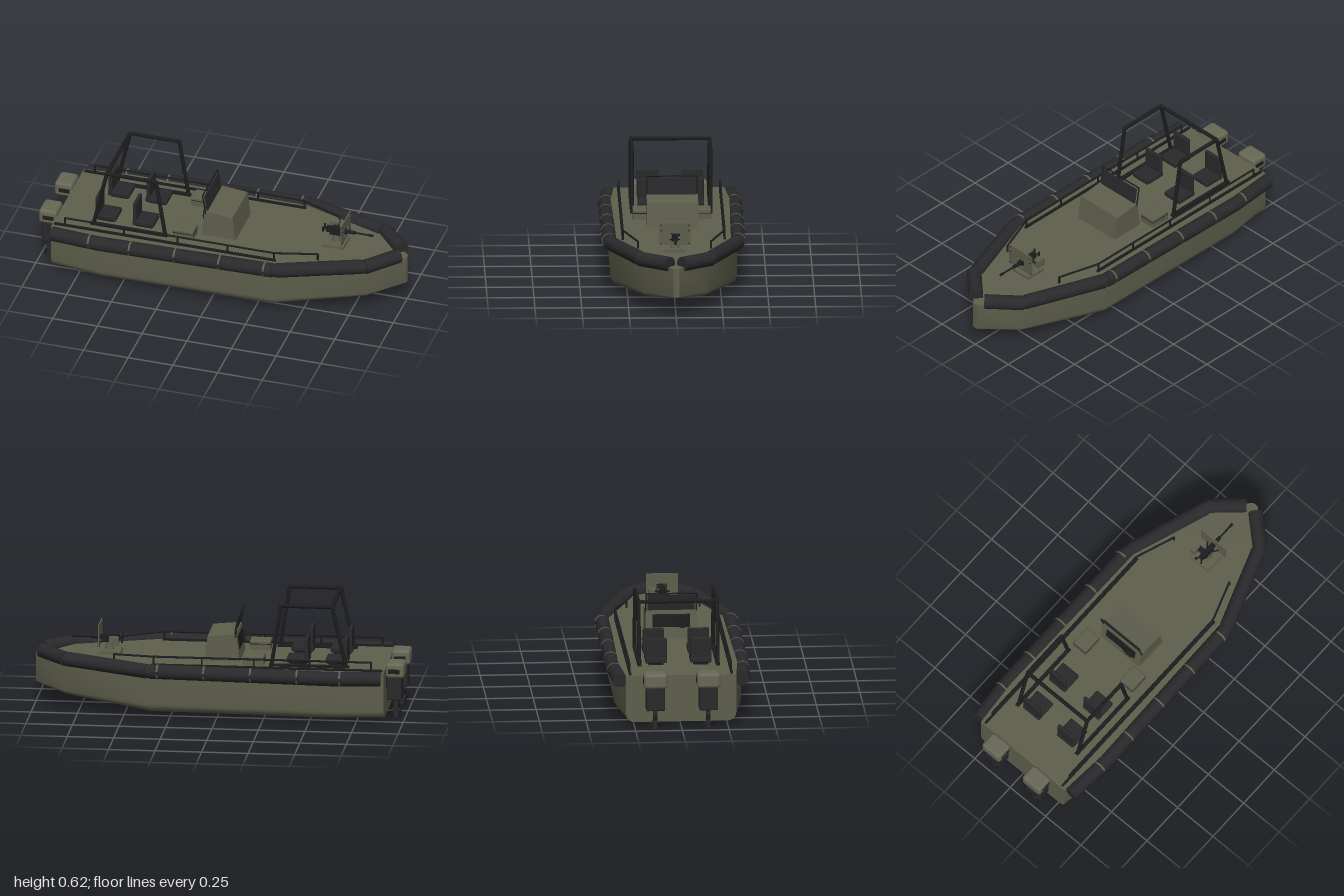
import * as THREE from 'three';
import { toCreasedNormals } from 'three/addons/utils/BufferGeometryUtils.js';
import { RoundedBoxGeometry } from 'three/addons/geometries/RoundedBoxGeometry.js';

const material = (name, color) => {
  const m = new THREE.MeshStandardMaterial({ color });
  m.name = name;
  return m;
};

export function createModel() {
  const green = material('olive paint', 0x5e5f4c);
  const cowlGreen = material('light olive', 0x686856);
  const rubber = material('black rubber', 0x29292b);
  const metal = material('black metal', 0x1d1d1f);
  const model = new THREE.Group();
  model.name = 'patrolBoat';
  const V = (x, y, z) => new THREE.Vector3(x, y, z);

  function add(name, geometry, mat, x = 0, y = 0, z = 0, parent = model) {
    const mesh = new THREE.Mesh(geometry, mat);
    mesh.name = name;
    mesh.position.set(x, y, z);
    parent.add(mesh);
    return mesh;
  }
  const box = (name, w, h, d, mat, x, y, z, parent) =>
    add(name, new THREE.BoxGeometry(w, h, d), mat, x, y, z, parent);
  const soft = (name, w, h, d, r, mat, x, y, z, parent) =>
    add(name, new RoundedBoxGeometry(w, h, d, 2, r), mat, x, y, z, parent);

  // Round bar between two points
  function bar(name, a, b, r, mat, sides = 10, parent = model) {
    const d = b.clone().sub(a);
    const mesh = add(name, new THREE.CylinderGeometry(r, r, d.length(), sides), mat, 0, 0, 0, parent);
    mesh.position.copy(a).add(b).multiplyScalar(0.5);
    mesh.quaternion.setFromUnitVectors(V(0, 1, 0), d.normalize());
    return mesh;
  }
  function pipe(name, points, r, mat) {
    for (let i = 1; i < points.length; i++) bar(name, points[i - 1], points[i], r, mat);
    for (const p of points) add(name + 'Joint', new THREE.SphereGeometry(r, 10, 8), mat, p.x, p.y, p.z);
  }

  // Hull: rounded-bilge sections [x, half width, bottom, top, bilge radius]
  const stations = [
    [-0.9, 0.295, 0.025, 0.28, 0.045], [-0.62, 0.338, 0.027, 0.28, 0.045],
    [0.35, 0.338, 0.037, 0.28, 0.045], [0.82, 0.175, 0.08, 0.28, 0.03], [1.0, 0.016, 0.11, 0.268, 0.006],
  ];
  const pos = [], index = [], arc = 5;
  for (const [x, w, b, t, r] of stations) {
    const half = [[w, t]];
    for (let i = 0; i <= arc; i++) {
      const a = (i / arc) * Math.PI / 2;
      half.push([w - r + r * Math.cos(a), b + r - r * Math.sin(a)]);
    }
    const loop = [...half, ...half.slice().reverse().map(([z, y]) => [-z, y])];
    for (const [z, y] of loop) pos.push(x, y, z);
  }
  const n = 2 * (arc + 2), last = (stations.length - 1) * n;
  for (let i = 0; i < last; i += n) {
    for (let j = 0; j < n; j++) {
      const k = (j + 1) % n;
      index.push(i + j, i + k, i + n + k, i + j, i + n + k, i + n + j);
    }
  }
  for (let j = 1; j < n - 1; j++) index.push(0, j + 1, j, last, last + j, last + j + 1);
  const hull = new THREE.BufferGeometry();
  hull.setAttribute('position', new THREE.Float32BufferAttribute(pos, 3));
  hull.setIndex(index);
  add('hull', toCreasedNormals(hull, 0.45), green);

  for (const s of [-1, 1]) {
    // Inflatable collar in straight lengths
    const collar = [
      [V(-0.885, 0.253, s * 0.325), V(-0.62, 0.253, s * 0.346)],
      [V(-0.63, 0.253, s * 0.346), V(0.352, 0.266, s * 0.342)],
      [V(0.37, 0.266, s * 0.338), V(0.805, 0.281, s * 0.187)],
      [V(0.82, 0.282, s * 0.188), V(0.962, 0.285, s * 0.032)],
    ];
    for (const [a, b] of collar) bar('collarTube', a, b, 0.039, rubber, 24);
    add('collarElbow', new THREE.SphereGeometry(0.036, 20, 14), rubber, 0.361, 0.266, s * 0.338);
    add('collarElbow', new THREE.SphereGeometry(0.036, 20, 14), rubber, 0.812, 0.281, s * 0.187);

    // Collar straps with outer cleats
    for (const x of [-0.67, -0.44, -0.19, 0.06, 0.31]) {
      const y = 0.253 + Math.max(0, x + 0.62) * 0.0134;
      const z = s * (x < -0.63 ? 0.342 : 0.345);
      bar('collarStrap', V(x - 0.005, y, z), V(x + 0.005, y, z), 0.0405, green, 24);
      box('strapCleat', 0.012, 0.02, 0.006, rubber, x, y, z + s * 0.04);
    }

    // Grab rail and stanchions
    pipe('grabRail', [V(-0.83, 0.28, s * 0.272), V(-0.83, 0.33, s * 0.272), V(0.34, 0.33, s * 0.272),
      V(0.56, 0.318, s * 0.195), V(0.56, 0.28, s * 0.195)], 0.0055, metal);
    for (const x of [-0.5, -0.2, 0.08, 0.34])
      bar('railPost', V(x, 0.27, s * 0.272), V(x, 0.33, s * 0.272), 0.005, metal);
    box('deckEdge', 1.24, 0.012, 0.012, metal, -0.27, 0.285, s * 0.272);

    // Roll frame side
    pipe('rollFrameSide', [V(-0.69, 0.28, s * 0.21), V(-0.615, 0.614, s * 0.21),
      V(-0.34, 0.614, s * 0.21), V(-0.287, 0.28, s * 0.21)], 0.0105, metal);
    box('rollFrameFoot', 0.43, 0.016, 0.02, metal, -0.49, 0.285, s * 0.21);

    // Crew seats, one behind the other
    for (const x of [-0.635, -0.425]) {
      const seat = new THREE.Group();
      seat.name = 'crewSeat';
      seat.position.set(x, 0.28, s * 0.12);
      model.add(seat);
      box('seatBase', 0.09, 0.02, 0.08, metal, 0, 0.005, 0, seat);
      soft('seatCushion', 0.12, 0.03, 0.115, 0.008, rubber, 0, 0.027, 0, seat);
      soft('seatBack', 0.02, 0.13, 0.115, 0.007, rubber, -0.046, 0.085, 0, seat);
    }

    // Deck locker
    soft('locker', 0.112, 0.06, 0.088, 0.006, green, -0.19, 0.302, s * 0.165);
    box('lockerSeam', 0.114, 0.004, 0.09, metal, -0.19, 0.313, s * 0.165);

    // Outboard engine
    const engine = new THREE.Group();
    engine.name = 'outboardEngine';
    engine.position.set(-0.95, 0, s * 0.142);
    model.add(engine);
    soft('cowl', 0.1, 0.082, 0.126, 0.018, cowlGreen, 0, 0.268, 0, engine);
    box('cowlVent', 0.06, 0.025, 0.1265, metal, 0.005, 0.265, 0, engine);
    soft('midsection', 0.08, 0.13, 0.1, 0.008, rubber, 0.005, 0.168, 0, engine);
    box('mount', 0.05, 0.07, 0.07, metal, 0.04, 0.2, 0, engine);
    box('lowerLeg', 0.026, 0.11, 0.024, rubber, 0, 0.055, 0, engine);
    bar('gearcase', V(-0.024, 0.04, 0), V(0.022, 0.04, 0), 0.013, rubber, 12, engine);
    for (let i = 0; i < 3; i++) {
      const a = Math.PI / 2 + i * Math.PI * 2 / 3;
      const blade = box('propellerBlade', 0.005, 0.026, 0.02, metal,
        -0.02, 0.04 + 0.024 * Math.sin(a), 0.024 * Math.cos(a), engine);
      blade.rotation.set(Math.PI / 2 - a, 0.45, 0);
    }
    box('skeg', 0.02, 0.03, 0.006, rubber, 0, 0.016, 0, engine);
  }
  pipe('rollFrameCrossbar', [V(-0.615, 0.614, -0.21), V(-0.615, 0.614, 0.21)], 0.0105, metal);

  // Steering console: side profile extruded across the boat
  const side = new THREE.Shape([[-0.11, 0.275], [0.083, 0.275], [0.064, 0.415], [-0.09, 0.43]]
    .map(([x, y]) => new THREE.Vector2(x, y)));
  add('console', new THREE.ExtrudeGeometry(side, { depth: 0.274, bevelEnabled: false }), green, 0, 0, -0.137);
  const dash = box('dashboard', 0.004, 0.07, 0.2, metal, -0.1, 0.375, 0);
  dash.rotation.z = -0.13;
  const wheel = add('steeringWheel', new THREE.TorusGeometry(0.03, 0.004, 8, 20), metal, -0.112, 0.37, 0.06);
  wheel.rotation.y = Math.PI / 2;

  // Windscreen and its frame
  const screen = box('windscreen', 0.006, 0.095, 0.252, rubber, -0.087, 0.47, 0);
  screen.rotation.z = 0.16;
  pipe('windscreenFrame', [V(-0.085, 0.415, -0.135), V(-0.103, 0.525, -0.135),
    V(-0.103, 0.525, 0.135), V(-0.085, 0.415, 0.135)], 0.004, metal);

  // Bow gun on its mount
  box('gunBase', 0.12, 0.016, 0.12, green, 0.6, 0.288, 0);
  add('gunPedestal', new THREE.CylinderGeometry(0.016, 0.026, 0.055, 12), green, 0.605, 0.32, 0);
  box('gunCradle', 0.07, 0.012, 0.035, metal, 0.605, 0.343, 0);
  box('gunReceiver', 0.11, 0.028, 0.026, metal, 0.605, 0.362, 0);
  box('ammoBox', 0.05, 0.045, 0.032, green, 0.575, 0.355, -0.06);
  box('ammoTray', 0.03, 0.008, 0.05, metal, 0.59, 0.36, -0.03);
  bar('gunBarrel', V(0.65, 0.362, 0), V(0.81, 0.362, 0), 0.005, metal);
  bar('barrelJacket', V(0.65, 0.362, 0), V(0.71, 0.362, 0), 0.01, metal);
  bar('muzzle', V(0.785, 0.362, 0), V(0.81, 0.362, 0), 0.007, metal);
  for (const z of [-0.018, 0.018]) bar('gunGrip', V(0.535, 0.35, z), V(0.535, 0.378, z), 0.005, metal);
  bar('gripBar', V(0.535, 0.362, -0.018), V(0.555, 0.362, 0), 0.004, metal);
  bar('gripBar', V(0.535, 0.362, 0.018), V(0.555, 0.362, 0), 0.004, metal);

  // Gun shield with a central opening
  const plate = new THREE.Shape([[-0.086, 0.32], [0.086, 0.32], [0.086, 0.442], [-0.086, 0.442]]
    .map(([x, y]) => new THREE.Vector2(x, y)));
  plate.holes.push(new THREE.Path([[-0.028, 0.34], [-0.028, 0.385], [0.028, 0.385], [0.028, 0.34]]
    .map(([x, y]) => new THREE.Vector2(x, y))));
  const shield = add('gunShield', new THREE.ExtrudeGeometry(plate, { depth: 0.006, bevelEnabled: false }), green, 0.653);
  shield.rotation.y = Math.PI / 2;
  for (const z of [-0.074, 0.074]) for (const y of [0.33, 0.4, 0.43])
    bar('shieldBolt', V(0.655, y, z), V(0.662, y, z), 0.0035, metal, 8);
  for (const z of [-0.04, 0.04]) bar('shieldBrace', V(0.62, 0.345, z * 0.4), V(0.655, 0.345, z), 0.004, metal);

  return model;
}
